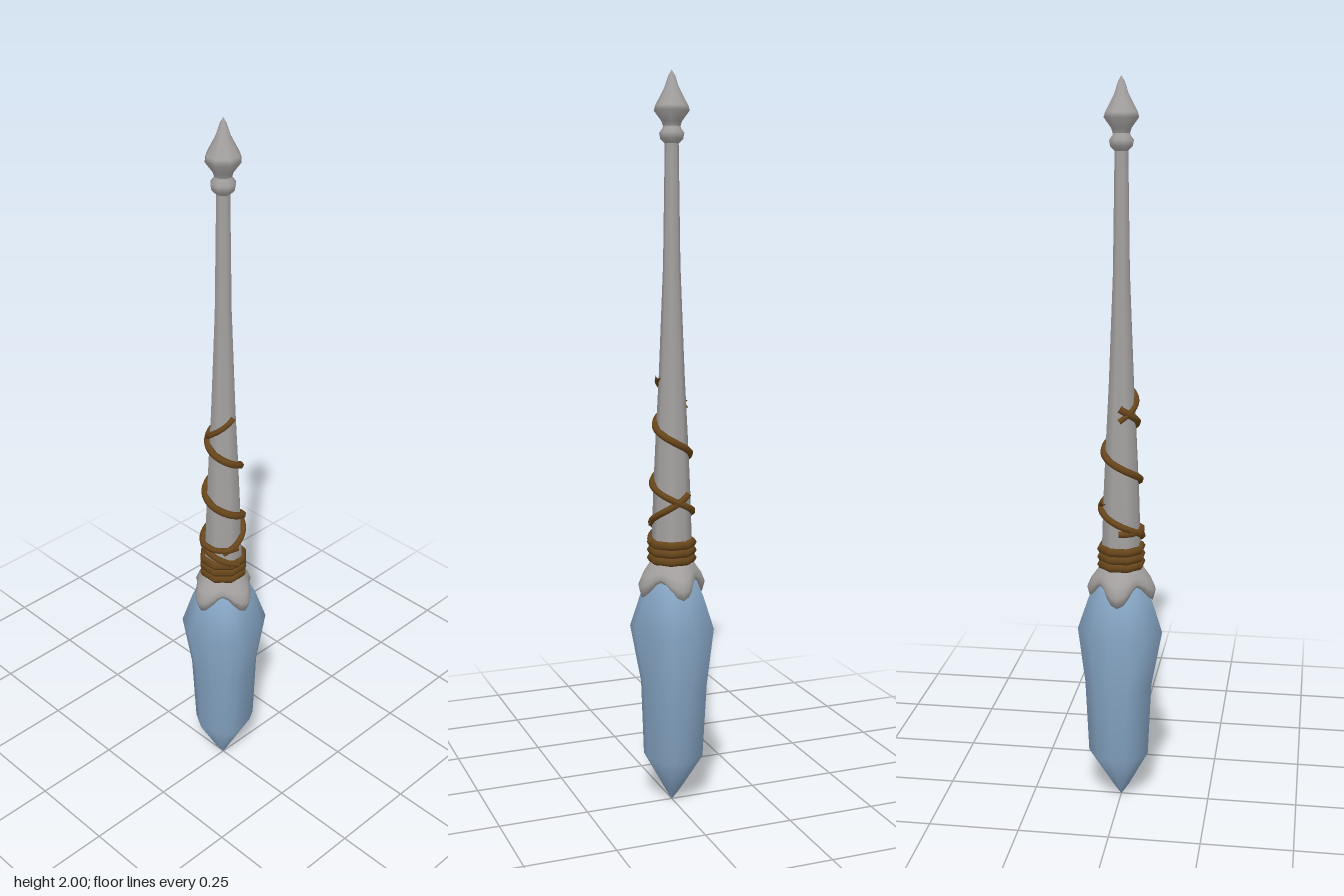
import * as THREE from 'three';

const stone = new THREE.MeshStandardMaterial({ color: 0xa5a1a1 });
stone.name = 'grey stone';
const leather = new THREE.MeshStandardMaterial({ color: 0x68461b });
leather.name = 'brown leather';
const ice = new THREE.MeshStandardMaterial({ color: 0x86a5c4 });
ice.name = 'pale blue crystal';

const SIDES = 8;
const SHAFT = [[0.63, 0.055], [0.72, 0.056], [0.9, 0.05], [1.05, 0.043], [1.2, 0.035], [1.5, 0.023], [1.83, 0.018]];

function add(group, name, geometry, material) {
  const mesh = new THREE.Mesh(geometry, material);
  mesh.name = name;
  group.add(mesh);
  return mesh;
}

// Turned piece from [height, radius] pairs
function turned(pairs, sides = SIDES) {
  return new THREE.LatheGeometry(pairs.map(([y, r]) => new THREE.Vector2(r, y)), sides, Math.PI / 8);
}

function shaftRadius(y) {
  for (let i = 1; i < SHAFT.length; i++) {
    const [y0, r0] = SHAFT[i - 1], [y1, r1] = SHAFT[i];
    if (y <= y1) return r0 + (r1 - r0) * (y - y0) / (y1 - y0);
  }
  return 0.018;
}

// Surface through rings of points, listed from bottom to top
function loft(rings, material) {
  const n = rings[0].length, index = [];
  for (let i = 0; i < rings.length - 1; i++) {
    for (let j = 0; j < n; j++) {
      const a = i * n + j, b = i * n + (j + 1) % n;
      index.push(a, b, b + n, a, b + n, a + n);
    }
  }
  const g = new THREE.BufferGeometry();
  g.setAttribute('position', new THREE.Float32BufferAttribute(rings.flat(2), 3));
  g.setIndex(index);
  g.computeVertexNormals();
  return g;
}

// Cord around the shaft; angle 0 faces the front and grows towards +x
function cord(a0, y0, a1, y1, thick = 0.011) {
  const points = [];
  const steps = Math.max(4, Math.ceil(Math.abs(a1 - a0) / (Math.PI / 8)));
  for (let i = 0; i <= steps; i++) {
    const t = i / steps, a = a0 + (a1 - a0) * t, y = y0 + (y1 - y0) * t;
    const r = shaftRadius(y) + 0.003;
    points.push(new THREE.Vector3(Math.sin(a) * r, y, Math.cos(a) * r));
  }
  return new THREE.TubeGeometry(new THREE.CatmullRomCurve3(points), steps * 2, thick, 6);
}

export function createModel() {
  const model = new THREE.Group();

  // Tapering shaft and pointed finial
  add(model, 'shaft', turned(SHAFT), stone);
  add(model, 'finialRing', turned([[1.812, 0.017], [1.825, 0.03], [1.84, 0.033], [1.852, 0.024], [1.862, 0.022]]), stone);
  add(model, 'finial', turned([[1.855, 0.022], [1.87, 0.027], [1.897, 0.047], [1.91, 0.043], [1.955, 0.019], [1.985, 0.009], [2, 0]]), stone);

  // Irregular crystal: one outline in x, z, scaled and shifted by height
  const outline = [[-0.02, 0.117], [0.04, 0.097], [0.09, 0.075], [0.108, 0.04], [0.108, 0], [0.09, -0.065],
    [0.065, -0.108], [0.04, -0.12], [-0.02, -0.12], [-0.095, -0.075], [-0.108, -0.02], [-0.108, 0.04], [-0.09, 0.077]];
  const levels = [[0, 0.01, 0, 0], [0.035, 0.2, -0.002, 0], [0.14, 0.71, -0.002, -0.005], [0.35, 0.79, -0.004, -0.005],
    [0.51, 1, 0, 0], [0.6, 0.75, 0, 0], [0.66, 0.53, 0, 0], [0.68, 0.02, 0, 0]];
  add(model, 'crystal', loft(levels.map(([y, s, dx, dz]) =>
    outline.map(([x, z]) => [x * s + dx, y, z * s + dz]))), ice);

  // Collar with four points hanging over the crystal
  const ring = (height, radius) => Array.from({ length: 32 }, (_, i) => {
    const a = i / 32 * Math.PI * 2;
    const point = Math.pow(Math.abs(Math.cos(2 * a)), 1.2) * Math.sign(Math.cos(2 * a));
    const k = (1 + Math.cos(4 * a)) / 2;
    const r = radius(k, point);
    return [Math.sin(a) * r, height(k), Math.cos(a) * r];
  });
  const rings = [
    ring(k => 0.655 - 0.03 * k, () => 0.045),
    ring(k => 0.648 - 0.05 * k, k => 0.069 + 0.019 * k),
    ring(k => 0.658 - 0.03 * k, k => 0.073 + 0.023 * k),
    ring(k => 0.672 - 0.015 * k, k => 0.069 + 0.015 * k),
    ring(() => 0.69, () => 0.06),
    ring(() => 0.702, () => 0.052),
  ];
  add(model, 'collar', loft(rings), stone);

  // Stacked bindings above the collar
  for (const y of [0.703, 0.725, 0.747]) {
    const g = new THREE.TorusGeometry(0.056, 0.0125, 6, SIDES);
    g.rotateX(Math.PI / 2);
    g.rotateY(Math.PI / 8);
    add(model, 'binding', g, leather).position.y = y;
  }

  // Spiral cord and its crossing ends
  const q = Math.PI / 2;
  add(model, 'spiralCord', cord(-q, 1.145, 9 * q, 0.745, 0.01), leather);
  add(model, 'upperCordEnd', cord(-q, 1.11, q, 1.205, 0.008), leather);
  add(model, 'lowerCordEnd', cord(0.5 * q, 0.79, 2.4 * q, 0.885, 0.009), leather);
  add(model, 'lowerCordLoop', cord(-q, 0.8, q, 0.8, 0.009), leather);

  return model;
}
